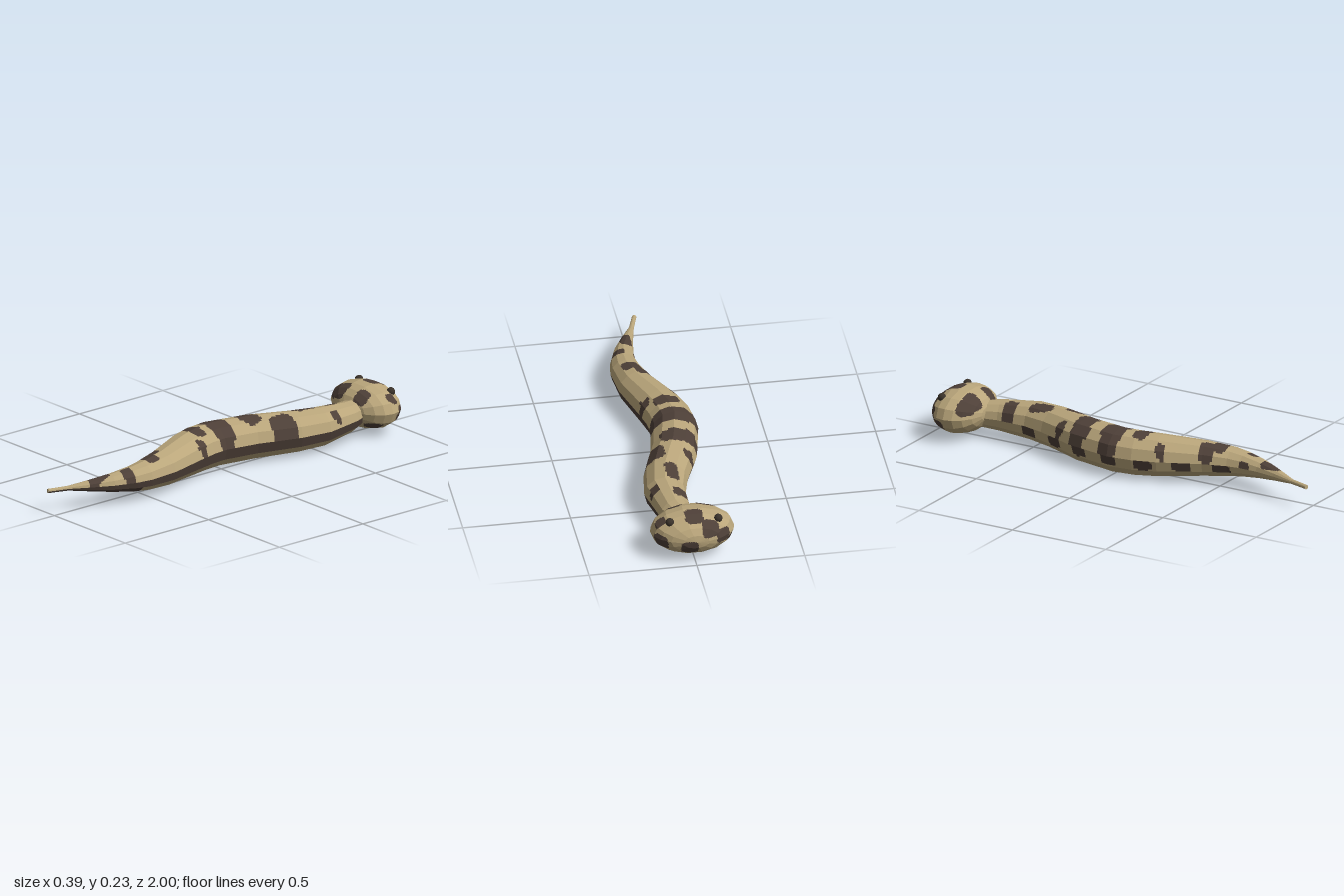
import * as THREE from 'three';

const tan = new THREE.MeshStandardMaterial({ color: 0xbaa67b });
tan.name = 'sandy tan';
const brown = new THREE.MeshStandardMaterial({ color: 0x4e4038 });
brown.name = 'dark brown';
const eyeColor = new THREE.MeshStandardMaterial({ color: 0x3a322a });
eyeColor.name = 'eye dark';

// Spine: stations along z with a radius each; x winds as a wave
const spine = [
  [-0.8, 0.06], [-0.7, 0.073], [-0.53, 0.09], [-0.4, 0.096], [-0.3, 0.099], [-0.2, 0.102],
  [0, 0.104], [0.1, 0.103], [0.2, 0.099], [0.4, 0.082], [0.53, 0.068], [0.6, 0.058],
  [0.7, 0.043], [0.8, 0.027], [0.9, 0.011], [0.995, 0.01],
];
const SPINE_Y = 0.108, SIDES = 12;
const spineX = (z) => -0.068 * Math.cos((Math.PI * z) / 0.56);
const heading = (z) => Math.atan2(spineX(z + 0.05) - spineX(z - 0.05), 0.1);

// Back blotches: x, z, half width, half length
const backSpots = [
  [0, -0.63, 0.045, 0.032], [0.125, -0.585, 0.02, 0.022], [0.025, -0.47, 0.03, 0.06],
  [-0.08, -0.305, 0.022, 0.025], [0.09, -0.3, 0.06, 0.06], [-0.06, -0.185, 0.09, 0.05],
  [-0.07, -0.01, 0.12, 0.055], [-0.05, 0.12, 0.06, 0.034], [0.045, 0.155, 0.022, 0.026],
  [-0.1, 0.24, 0.02, 0.022], [0, 0.43, 0.042, 0.036], [0.05, 0.475, 0.045, 0.035],
  [0, 0.62, 0.016, 0.027], [0.09, 0.635, 0.035, 0.027], [0.03, 0.76, 0.027, 0.055],
];
// Head blotches: centre x, y, z, half width
const headSpots = [
  [0, 0.22, -0.915, 0.042], [-0.07, 0.18, -0.975, 0.04], [0.15, 0.18, -0.89, 0.025],
  [-0.13, 0.18, -0.785, 0.04], [-0.07, 0.19, -0.785, 0.04], [0.07, 0.19, -0.785, 0.035],
  [-0.13, 0.13, -0.96, 0.034], [-0.17, 0.08, -0.91, 0.03], [0.15, 0.11, -0.93, 0.035],
  [0.03, 0.09, -0.99, 0.04], [0.12, 0.04, -0.81, 0.04],
];
const within = (...ratios) => ratios.reduce((sum, r) => sum + r ** 4, 0) < 1;

// Flat facets between rings of corners, finely divided so markings can follow their own edges
function facetedSkin(corner, rings, sides, subV, subU, isDark) {
  const light = [], dark = [];
  for (let i = 0; i < rings; i++) for (let j = 0; j < sides; j++) {
    const p00 = corner(i, j), p01 = corner(i, j + 1), p10 = corner(i + 1, j), p11 = corner(i + 1, j + 1);
    const at = (s, t) => p00.clone().lerp(p01, t).lerp(p10.clone().lerp(p11, t), s);
    for (let m = 0; m < subV; m++) for (let n = 0; n < subU; n++) {
      const s0 = m / subV, s1 = (m + 1) / subV, t0 = n / subU, t1 = (n + 1) / subU;
      const a = at(s0, t0), b = at(s0, t1), c = at(s1, t1), d = at(s1, t0);
      const out = isDark(a.clone().lerp(c, 0.5), j) ? dark : light;
      for (const tri of [[a, b, c], [a, c, d]]) {
        if (new THREE.Triangle(...tri).getArea() < 1e-10) continue;
        for (const p of tri) out.push(p.x, p.y, p.z);
      }
    }
  }
  const g = new THREE.BufferGeometry();
  g.setAttribute('position', new THREE.Float32BufferAttribute(light.concat(dark), 3));
  g.addGroup(0, light.length / 3, 0);
  g.addGroup(light.length / 3, dark.length / 3, 1);
  g.computeVertexNormals();
  return g;
}

// Body: twelve-sided rings square to the winding spine
function bodyCorner(i, j) {
  const [z, r] = spine[i], h = heading(z), t = (j / SIDES) * Math.PI * 2;
  const side = r * 1.06 * Math.cos(t);
  return new THREE.Vector3(
    spineX(z) + side * Math.cos(h), SPINE_Y + r * Math.sin(t), z - side * Math.sin(h));
}

// Stripe on the left flank, spot row on the right flank, blotches on the back
function bodyDark(p, j) {
  if (j === 11 || (p.z > 0.57 && j >= 9)) return true;
  if (j === 6 && Math.abs(p.z) < 0.6) {
    return within((p.z - 0.17 * Math.round(p.z / 0.17)) / 0.042, (p.y - 0.085) / 0.024);
  }
  return j < 6 && backSpots.some(([x, z, rx, rz]) => within((p.x - x) / rx, (p.z - z) / rz));
}

// Head: wide faceted ellipsoid with its poles fore and aft
function headCorner(i, j) {
  const t = (i / 10) * Math.PI, f = (j / 14) * Math.PI * 2;
  return new THREE.Vector3(
    0.195 * Math.sin(t) * Math.cos(f),
    0.125 + 0.107 * Math.sin(t) * Math.sin(f),
    -0.868 - 0.132 * Math.cos(t));
}
const headDark = (p) => headSpots.some(([x, y, z, r]) =>
  within((p.x - x) / r, (p.y - y) / r, (p.z - z) / r));

export function createModel() {
  const model = new THREE.Group();
  model.name = 'snake';
  const add = (name, geometry, material) => {
    const mesh = new THREE.Mesh(geometry, material);
    mesh.name = name;
    model.add(mesh);
    return mesh;
  };

  add('body', facetedSkin(bodyCorner, spine.length - 1, SIDES, 12, 6, bodyDark), [tan, brown]);
  add('head', facetedSkin(headCorner, 10, 14, 8, 10, headDark), [tan, brown]);

  // Blunt end of the tail
  const [tipZ, tipR] = spine[spine.length - 1];
  const tip = add('tailTip', new THREE.CircleGeometry(tipR * 1.04, SIDES), tan);
  tip.position.set(spineX(tipZ), SPINE_Y, tipZ);
  tip.rotation.y = heading(tipZ);

  // Eyes
  for (const s of [-1, 1]) {
    const eye = add(s > 0 ? 'leftEye' : 'rightEye', new THREE.SphereGeometry(0.02, 10, 8), eyeColor);
    eye.position.set(s * 0.112, 0.2, -0.922);
  }
  return model;
}
